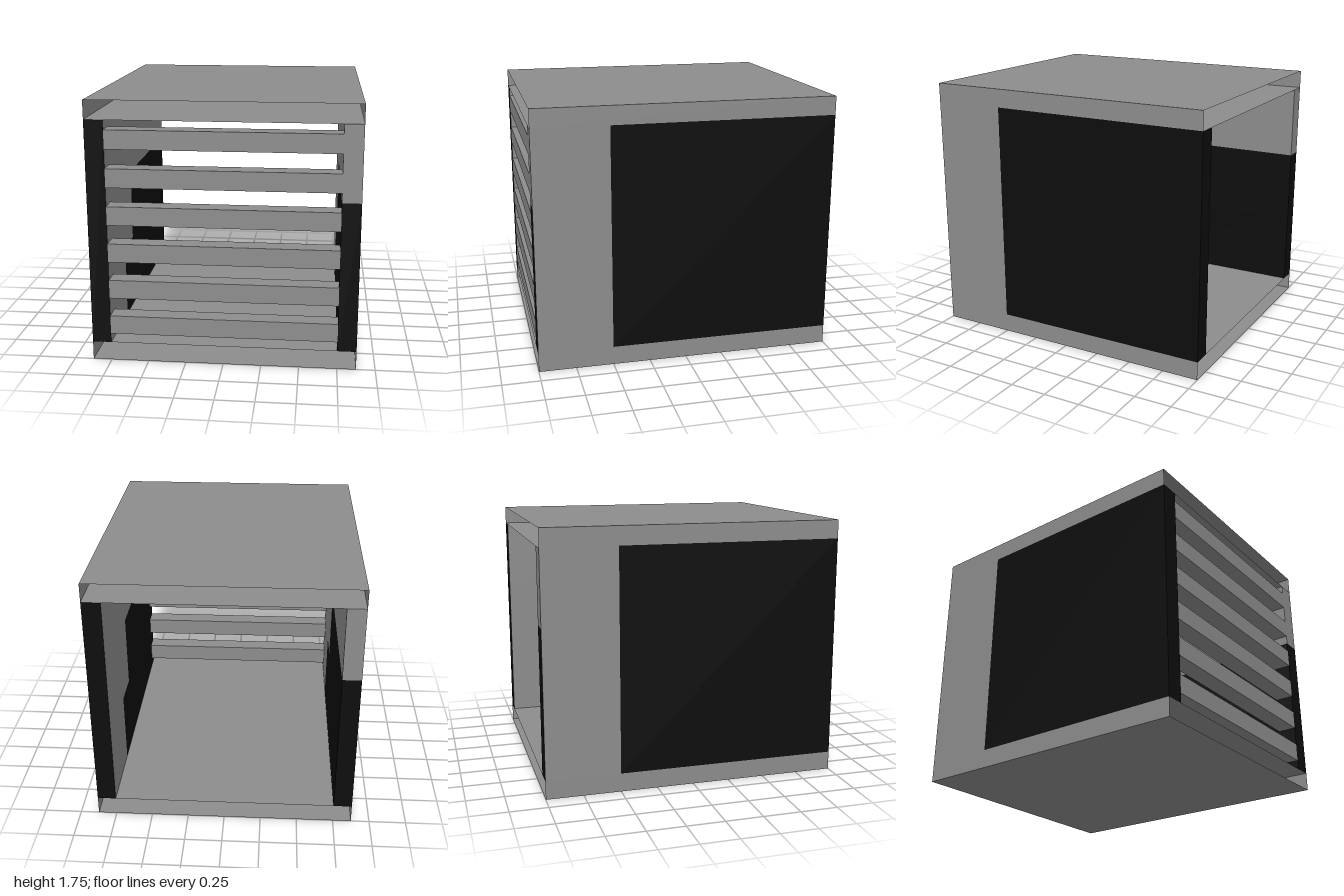
import * as THREE from 'three';

const grey = new THREE.MeshStandardMaterial({ color: 0x8d8d8d, side: THREE.DoubleSide });
grey.name = 'stone grey';
const black = new THREE.MeshStandardMaterial({ color: 0x0d0d0d, side: THREE.DoubleSide });
black.name = 'soot black';

// Flat panel facing along one axis; u and v are [min, max] ranges.
// 'x': u = z, v = y   'y': u = x, v = z   'z': u = x, v = y
function panel(name, axis, at, u, v, material, sign = 1) {
  const geometry = new THREE.PlaneGeometry(u[1] - u[0], v[1] - v[0]);
  const cu = (u[0] + u[1]) / 2, cv = (v[0] + v[1]) / 2;
  if (axis === 'x') geometry.rotateY(sign * Math.PI / 2).translate(at, cv, cu);
  if (axis === 'y') geometry.rotateX(-sign * Math.PI / 2).translate(cu, at, cv);
  if (axis === 'z') geometry.rotateY(sign > 0 ? 0 : Math.PI).translate(cu, cv, at);
  const mesh = new THREE.Mesh(geometry, material);
  mesh.name = name;
  return mesh;
}

// Hollow slab, open at the front and back
function slab(name, y) {
  const group = new THREE.Group();
  group.name = name;
  const X = [-0.875, 0.875], Z = [-1, 1], Y = [y, y + 0.125];
  group.add(
    panel('slabTop', 'y', Y[1], X, Z, grey),
    panel('slabBottom', 'y', Y[0], X, Z, grey, -1),
    panel('slabLeftEdge', 'x', X[1], Z, Y, grey),
    panel('slabRightEdge', 'x', X[0], Z, Y, grey, -1)
  );
  return group;
}

// Side wall at +x, with a grey front strip outside and a stepped pattern inside
function wall(name) {
  const group = new THREE.Group();
  group.name = name;
  const out = 0.875, inn = 0.75, X = [inn, out];
  group.add(
    panel('outerStrip', 'x', out, [0.5, 1], [0.125, 1.625], grey),
    panel('outerPanel', 'x', out, [-1, 0.5], [0.125, 1.625], black),
    panel('frontEdgeUpper', 'z', 1, X, [1.125, 1.625], grey),
    panel('frontEdgeLower', 'z', 1, X, [0.125, 1.125], black),
    panel('backEdge', 'z', -1, X, [0.125, 1.625], black, -1),
    panel('innerUpper', 'x', inn, [-1, 1], [1.125, 1.625], grey, -1)
  );
  for (const [z, y0] of [[-0.25, 0.625], [-0.5, 0.125]]) {
    group.add(
      panel('innerStrip', 'x', inn, [-1, z], [y0, y0 + 0.5], grey, -1),
      panel('innerStep', 'x', inn, [z, 1], [y0, y0 + 0.5], black, -1)
    );
  }
  return group;
}

export function createModel() {
  const model = new THREE.Group();
  model.name = 'slattedCrate';
  model.add(slab('floorSlab', 0), slab('roofSlab', 1.625));

  // The second wall is the first turned half way round
  const rightWall = wall('rightWall');
  rightWall.rotation.y = Math.PI;
  model.add(wall('leftWall'), rightWall);

  // Six front slats
  const slatGeometry = new THREE.BoxGeometry(1.5, 0.125, 0.125);
  for (let i = 0; i < 6; i++) {
    const slat = new THREE.Mesh(slatGeometry, grey);
    slat.name = 'frontSlat';
    slat.position.set(0, 0.25 + i * 0.25, 0.9375);
    model.add(slat);
  }
  return model;
}
